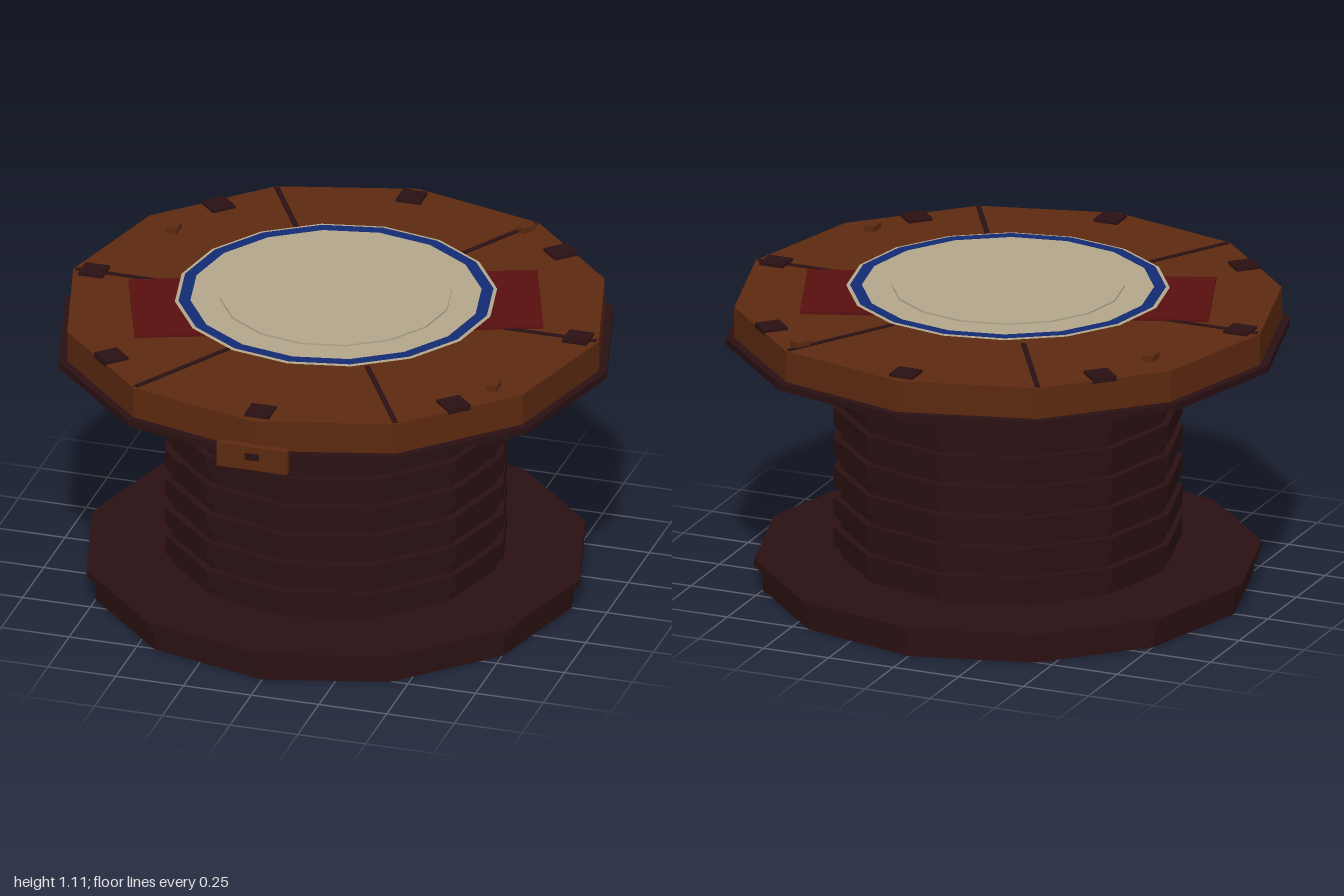
import * as THREE from 'three';

const material = (name, color) => {
  const m = new THREE.MeshStandardMaterial({ color, flatShading: true });
  m.name = name;
  return m;
};

export function createModel() {
  const dark = material('dark wood', 0x2a1012);
  const brown = material('brown wood', 0x5c2910);
  const cream = material('cream', 0xb3a68b);
  const blue = material('blue', 0x122a74);
  const red = material('red', 0x58100f);

  const model = new THREE.Group();
  model.name = 'spoolTable';

  const add = (name, geometry, mat, x = 0, y = 0, z = 0, turn = 0) => {
    const mesh = new THREE.Mesh(geometry, mat);
    mesh.name = name;
    mesh.position.set(x, y, z);
    mesh.rotation.y = turn;
    model.add(mesh);
    return mesh;
  };
  // Faceted disc between two heights
  const disc = (name, mat, rTop, rBottom, y0, y1, sides = 12) =>
    add(name, new THREE.CylinderGeometry(rTop, rBottom, y1 - y0, sides), mat, 0, (y0 + y1) / 2);
  // Box placed by its bottom and top heights
  const block = (name, mat, w, d, y0, y1, x, z, turn = 0) =>
    add(name, new THREE.BoxGeometry(w, y1 - y0, d), mat, x, (y0 + y1) / 2, z, turn);

  // Base flange
  disc('base', dark, 0.87, 0.87, 0, 0.09);
  disc('baseRim', dark, 0.9, 0.9, 0.09, 0.115);

  // Drum with wound ribs
  disc('drum', dark, 0.592, 0.592, 0.115, 0.925);
  for (let i = 0; i < 7; i++) {
    const y = 0.19 + i * 0.112;
    disc('drumRib', dark, 0.618, 0.618, y - 0.033, y + 0.033);
  }

  // Table top
  disc('topRim', dark, 1, 1, 0.92, 0.945);
  disc('tableTop', brown, 0.97, 0.97, 0.945, 1.06);

  // Plank seams
  for (let i = 0; i < 6; i++) {
    const a = (i * Math.PI) / 3;
    block('plankSeam', dark, 0.46, 0.018, 1.055, 1.064, Math.cos(a) * 0.73, -Math.sin(a) * 0.73, a);
  }

  // Rim clips
  for (let i = 0; i < 8; i++) {
    const a = (i * Math.PI) / 4;
    block('rimClip', dark, 0.09, 0.09, 1.05, 1.07, Math.cos(a) * 0.893, -Math.sin(a) * 0.893, a);
  }

  // Small pegs on the planks
  for (const [x, z, turn] of [[-0.725, -0.4, 0], [0.725, 0.46, 0], [0.46, -0.77, -0.5]]) {
    block('peg', brown, 0.042, 0.058, 1.055, 1.082, x, z, turn);
  }

  // Red cloths under the plate
  for (const s of [1, -1]) {
    block('redCloth', red, 0.35, 0.447, 1.06, 1.07, s * 0.512, s * -0.19, 0.353);
  }

  // Flared plate with a blue band and a raised centre
  disc('plate', cream, 0.57, 0.45, 1.06, 1.1, 16);
  const band = new THREE.RingGeometry(0.515, 0.557, 16, 1);
  band.rotateX(-Math.PI / 2);
  add('plateBand', band, blue, 0, 1.102, 0);
  disc('plateCentre', cream, 0.41, 0.41, 1.1, 1.106, 16);

  // Front plaque, with the rim's corner showing through
  block('plaque', brown, 0.262, 0.028, 0.88, 0.97, 0, 0.979);

  return model;
}
